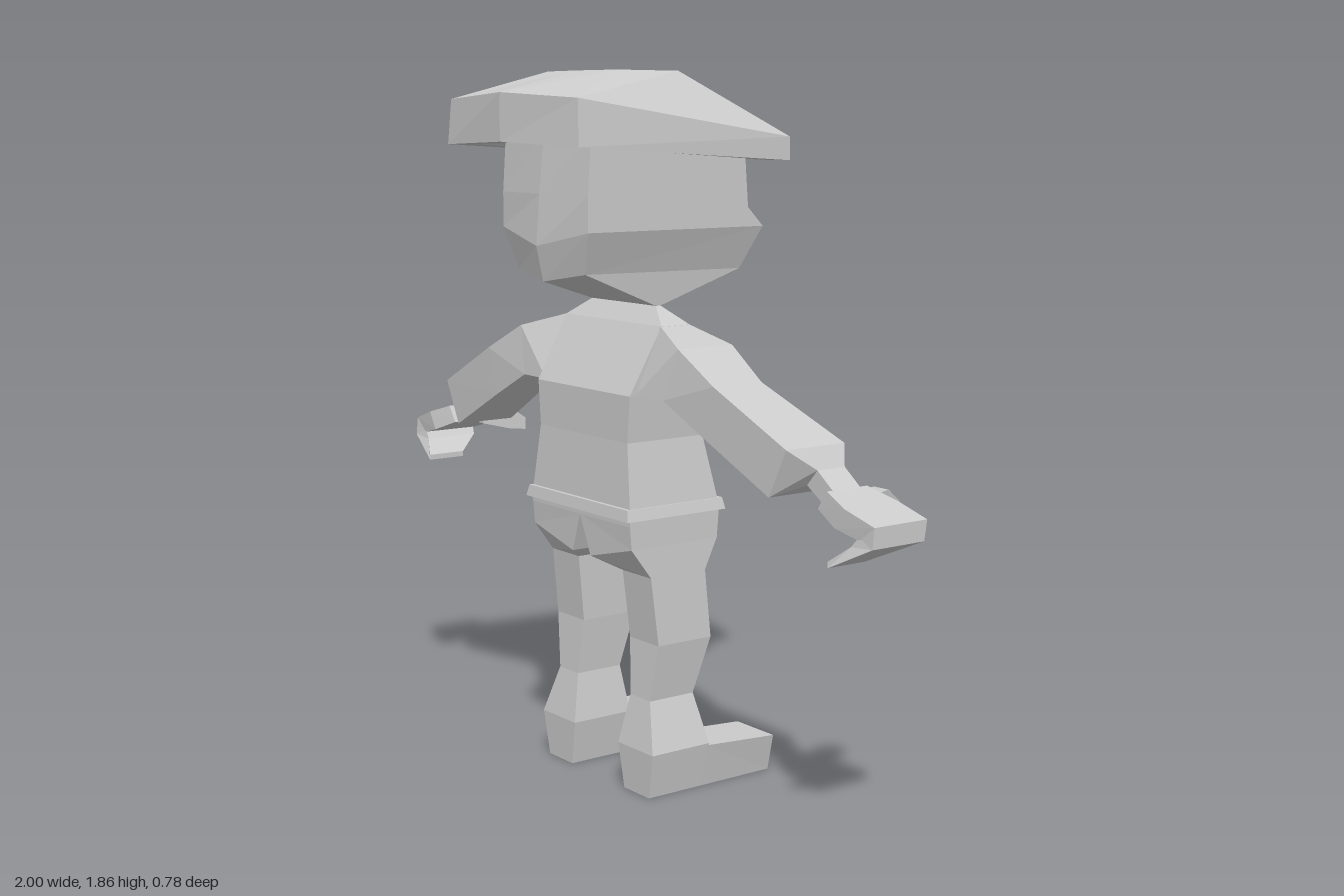
import * as THREE from 'three';

const grey = new THREE.MeshStandardMaterial({ color: 0xcccccc, flatShading: true });
grey.name = 'plainGrey';

// Skins a list of equal-length rings, caps both ends and turns the faces outward
function loft(name, rings, mirror = 1) {
  const n = rings[0].length;
  const pts = rings.flat().map(([x, y, z]) => new THREE.Vector3(x * mirror, y, z));
  const tris = [];
  for (let r = 0; r < rings.length - 1; r++) {
    for (let i = 0; i < n; i++) {
      const a = r * n + i, b = r * n + (i + 1) % n;
      tris.push([a, b, b + n], [a, b + n, a + n]);
    }
  }
  const last = (rings.length - 1) * n;
  for (let i = 1; i < n - 1; i++) {
    tris.push([0, i + 1, i], [last, last + i, last + i + 1]);
  }
  const centre = pts.reduce((s, p) => s.add(p), new THREE.Vector3()).divideScalar(pts.length);
  const local = pts.map(p => p.clone().sub(centre));
  let volume = 0;
  for (const [a, b, c] of tris) volume += local[a].dot(local[b].clone().cross(local[c]));
  const corners = [];
  for (const [a, b, c] of tris) {
    for (const k of volume < 0 ? [a, c, b] : [a, b, c]) corners.push(pts[k]);
  }
  const geo = new THREE.BufferGeometry().setFromPoints(corners);
  geo.computeVertexNormals();
  const mesh = new THREE.Mesh(geo, grey);
  mesh.name = name;
  return mesh;
}

// Horizontal four-cornered ring
const slab = (x0, y0, x1, y1, zb, zf) => [[x0, y0, zb], [x1, y1, zb], [x1, y1, zf], [x0, y0, zf]];

// Limb ring with an upper and a lower edge, each with its own depth
const limb = (tx, ty, tb, tf, bx, by, bb = tb, bf = tf) =>
  [[tx, ty, tb], [tx, ty, tf], [bx, by, bf], [bx, by, bb]];

// Head ring: flat face at the front, back folded along the middle
const headRing = (w, yF, zF, yC, zC, yB, zB) =>
  [[-w, yF, zF], [w, yF, zF], [w, yC, zC], [0, yB, zB], [-w, yC, zC]];

// Cap ring with six corners: front middle, front corners, back corners, back middle
const capRing = (f, fc, bc, b) => [
  [0, ...f], fc, bc, [0, ...b],
  [-bc[0], bc[1], bc[2]], [-fc[0], fc[1], fc[2]],
];

export function createModel() {
  const model = new THREE.Group();
  model.name = 'figure';

  // Cap with a recessed underside
  model.add(loft('cap', [
    capRing([1.855, -0.10], [0.12, 1.855, -0.07], [0.15, 1.855, 0.145], [1.855, 0.16]),
    capRing([1.69, -0.395], [0.265, 1.69, -0.32], [0.285, 1.785, 0.355], [1.80, 0.39]),
    capRing([1.63, -0.395], [0.265, 1.63, -0.32], [0.295, 1.67, 0.36], [1.68, 0.39]),
    capRing([1.63, -0.35], [0.23, 1.63, -0.29], [0.245, 1.67, 0.31], [1.68, 0.33]),
    capRing([1.66, -0.32], [0.21, 1.66, -0.27], [0.22, 1.69, 0.28], [1.70, 0.30]),
  ]));

  // Head with a jutting nose ridge, narrowing to a thin neck
  model.add(loft('head', [
    headRing(0.19, 1.67, -0.232, 1.70, 0.25, 1.70, 0.26),
    headRing(0.19, 1.51, -0.245, 1.55, 0.26, 1.55, 0.275),
    headRing(0.19, 1.46, -0.295, 1.46, 0.26, 1.42, 0.285),
    headRing(0.15, 1.35, -0.25, 1.355, 0.24, 1.33, 0.265),
    headRing(0.14, 1.265, 0.0, 1.265, 0.015, 1.265, 0.015),
  ]));

  // Torso and belt
  const level = (w, y, zb, zf) => slab(-w, y, w, y, zb, zf);
  model.add(loft('torso', [
    level(0.14, 1.265, 0.015, 0.0),
    level(0.21, 1.22, 0.05, -0.04),
    level(0.205, 1.05, 0.145, -0.12),
    level(0.195, 0.93, 0.145, -0.095),
    level(0.22, 0.75, 0.155, -0.13),
  ]));
  model.add(loft('belt', [level(0.222, 0.765, 0.165, -0.14), level(0.23, 0.735, 0.17, -0.145)]));

  for (const side of [1, -1]) {
    const label = side > 0 ? 'left' : 'right';
    const add = (part, rings) => model.add(loft(label + part, rings, side));

    // Leg from hip to heel
    add('Leg', [
      slab(0, 0.74, 0.22, 0.74, 0.155, -0.13),
      slab(0, 0.72, 0.22, 0.72, 0.155, -0.13),
      slab(0.04, 0.615, 0.22, 0.66, 0.15, -0.125),
      slab(0.10, 0.58, 0.222, 0.58, 0.09, -0.085),
      slab(0.105, 0.4, 0.228, 0.4, 0.07, -0.10),
      slab(0.12, 0.25, 0.205, 0.25, 0.08, -0.06),
      slab(0.10, 0.12, 0.25, 0.12, 0.105, -0.08),
      slab(0.12, 0, 0.228, 0, 0.10, -0.08),
    ]);

    // Foot
    const footEnd = (z, y) => [[0.10, y, z], [0.25, y, z], [0.228, 0, z], [0.12, 0, z]];
    add('Foot', [footEnd(-0.075, 0.115), footEnd(-0.30, 0.10)]);

    // Sleeve with a tapered cuff and the wrist
    add('Arm', [
      limb(0.205, 1.221, 0.05, -0.04, 0.20, 1.05, 0.125, -0.10),
      limb(0.35, 1.18, 0.105, -0.065, 0.31, 1.05, 0.12, -0.09),
      limb(0.50, 1.105, 0.115, -0.035, 0.455, 0.98),
      limb(0.75, 0.985, 0.10, -0.08, 0.69, 0.865),
      limb(0.78, 0.935, 0.03, -0.055, 0.745, 0.895),
      limb(0.84, 0.89, 0.03, -0.055, 0.80, 0.86),
    ]);

    // Palm
    add('Palm', [
      limb(0.83, 0.895, 0.045, -0.08, 0.80, 0.85),
      limb(0.91, 0.87, 0.065, -0.10, 0.88, 0.82),
      limb(1.0, 0.84, 0.055, -0.108, 0.96, 0.80),
    ]);

    // Curled fingers
    add('Fingers', [
      limb(1.0, 0.84, 0.055, -0.108, 0.95, 0.81),
      limb(1.0, 0.79, 0.06, -0.10, 0.93, 0.785),
      limb(0.88, 0.73, 0.085, -0.03, 0.88, 0.745),
    ]);

    // Thumb
    const thumbEnd = (z, x0, x1, y0, y1) => [[x0, y0, z], [x1, y0, z], [x1, y1, z], [x0, y1, z]];
    add('Thumb', [
      thumbEnd(-0.06, 0.81, 0.87, 0.835, 0.88),
      thumbEnd(-0.14, 0.79, 0.84, 0.815, 0.88),
      thumbEnd(-0.19, 0.78, 0.825, 0.81, 0.845),
    ]);
  }
  return model;
}
